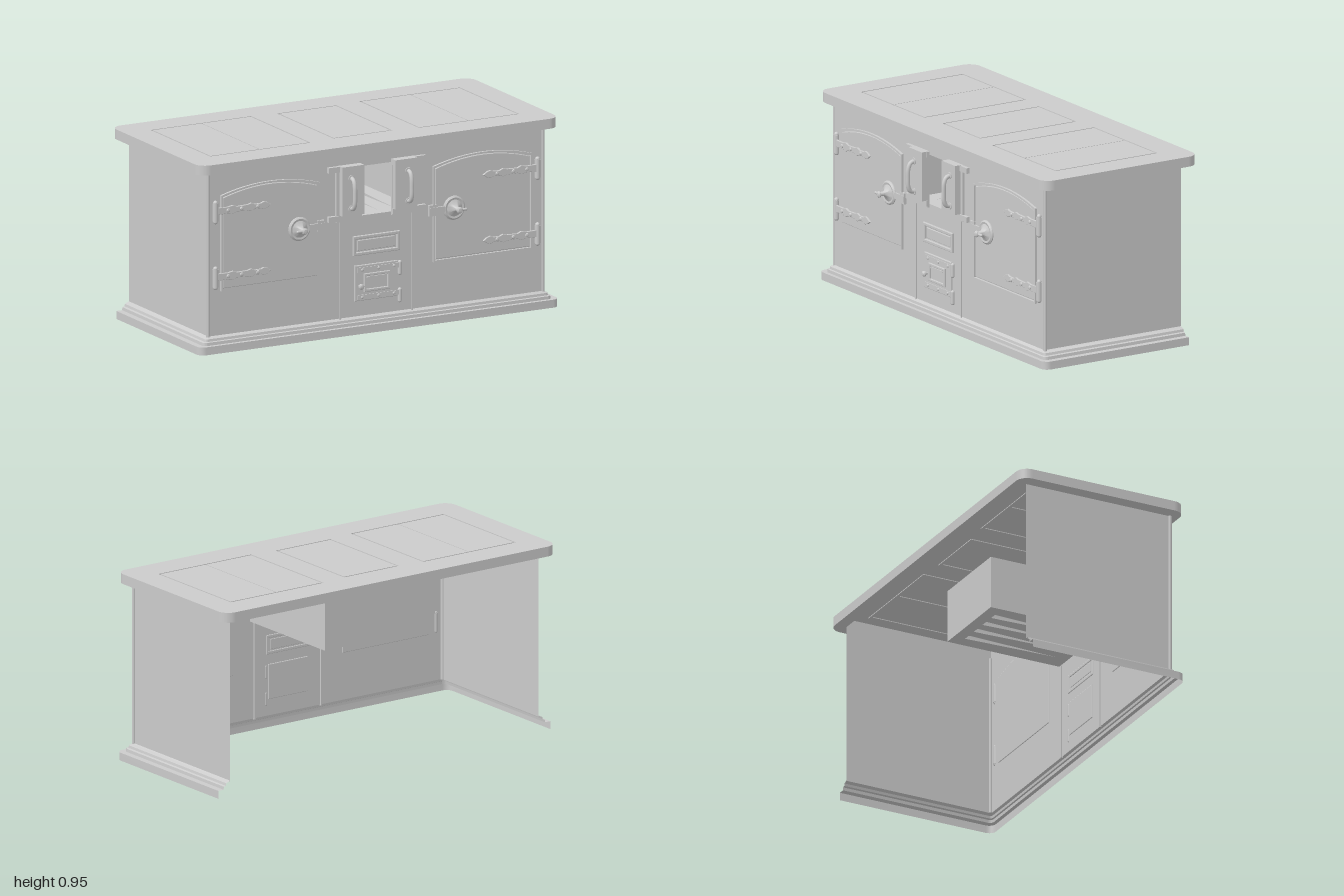
import * as THREE from 'three';
import { toCreasedNormals } from 'three/addons/utils/BufferGeometryUtils.js';

const solid = new THREE.MeshStandardMaterial({ color: 0xcccccc });
const thin = new THREE.MeshStandardMaterial({ color: 0xcccccc, side: THREE.DoubleSide });
const FRONT = 0.385, BACK = -0.41, HALF = 0.93;

function add(parent, name, geo, x = 0, y = 0, z = 0, mat = solid) {
  const m = new THREE.Mesh(geo, mat);
  m.name = name;
  m.position.set(x, y, z);
  parent.add(m);
  return m;
}
// box given by its limits
function block(parent, name, x0, x1, y0, y1, z0, z1) {
  return add(parent, name, new THREE.BoxGeometry(x1 - x0, y1 - y0, z1 - z0), (x0 + x1) / 2, (y0 + y1) / 2, (z0 + z1) / 2);
}
function rectPoints(x0, x1, y0, y1) {
  return [[x0, y0], [x1, y0], [x1, y1], [x0, y1]].map(p => new THREE.Vector2(...p));
}
const rect = (...a) => new THREE.Shape(rectPoints(...a));
function frame(x0, x1, y0, y1, w) {
  const s = rect(x0, x1, y0, y1);
  s.holes.push(new THREE.Path(rectPoints(x0 + w, x1 - w, y0 + w, y1 - w)));
  return s;
}
function extrude(shape, depth, bevel = 0) {
  return new THREE.ExtrudeGeometry(shape, {
    depth, curveSegments: 16, bevelEnabled: bevel > 0, bevelThickness: bevel, bevelSize: bevel, bevelOffset: -bevel, bevelSegments: 2
  });
}
function roundRect(x0, x1, y0, y1, r) {
  const s = new THREE.Shape();
  s.absarc(x1 - r, y1 - r, r, 0, Math.PI / 2);
  s.absarc(x0 + r, y1 - r, r, Math.PI / 2, Math.PI);
  s.absarc(x0 + r, y0 + r, r, Math.PI, Math.PI * 1.5);
  s.absarc(x1 - r, y0 + r, r, Math.PI * 1.5, Math.PI * 2);
  s.closePath();
  return s;
}
// lathe whose axis points forward; points are [radius, forward]
function turned(points, seg = 28) {
  const g = new THREE.LatheGeometry(points.map(p => new THREE.Vector2(...p)), seg);
  return toCreasedNormals(g.rotateX(Math.PI / 2), 0.6);
}
const rivet = (parent, x, y, z, r = 0.008) =>
  add(parent, 'rivet', turned([[r, 0], [r * 0.8, r * 0.5], [0, r * 0.8]], 12), x, y, z);

// Worktop: hollow slab with grooved hotplates
function worktop() {
  const g = new THREE.Group();
  g.name = 'worktop';
  // shapes lie in x and -z, extruded upwards
  const flat = (name, shape, y, h) => add(g, name, extrude(shape, h).rotateX(-Math.PI / 2), 0, y, 0);
  const plates = [[-0.86, -0.58, -0.30], [-0.165, 0.165], [0.30, 0.58, 0.86]];
  const outline = () => roundRect(-1, 1, -0.43, 0.47, 0.06);
  const top = outline(), rim = outline();
  rim.holes.push(new THREE.Path(rectPoints(-HALF, HALF, -FRONT, -BACK)));
  const gap = 0.008;
  for (const xs of plates) {
    const [y0, y1] = xs.length === 2 ? [-0.257, 0.305] : [-0.275, 0.32];
    const x0 = xs[0], x1 = xs[xs.length - 1];
    top.holes.push(new THREE.Path(rectPoints(x0, x1, y0, y1)));
    for (let i = 0; i + 1 < xs.length; i++) {
      const a = xs[i] + (i ? 0.002 : gap), b = xs[i + 1] - (i + 2 < xs.length ? 0.002 : gap);
      flat('hotplate', rect(a, b, y0 + gap, y1 - gap), 0.942, 0.008);
    }
    flat('grooveFloor', frame(x0 - 0.004, x1 + 0.004, y0 - 0.004, y1 + 0.004, gap + 0.008), 0.938, 0.004);
    if (xs.length > 2) flat('plateJoint', rect(xs[1] - 0.006, xs[1] + 0.006, y0, y1), 0.938, 0.004);
  }
  flat('topPlate', top, 0.942, 0.008);
  flat('rim', rim, 0.90, 0.042);
  return g;
}

// Plinth: moulding profile swept round the front and both sides
function plinth() {
  const profile = [[1, 0], [1, 0.04], [0.968, 0.04], [0.966, 0.055], [0.955, 0.058], [0.952, 0.07], [0.94, 0.075], [HALF, 0.08]];
  const pos = [], idx = [], n = 16;
  for (const [off, y] of profile) {
    const zf = FRONT + (off - HALF) * 0.62, r = 0.005 + (off - HALF) * 0.45;
    pos.push(-off, y, BACK);
    for (let side = 0; side < 2; side++) for (let i = 0; i < 7; i++) {
      const a = Math.PI - (side * 7 + i - side) / 12 * Math.PI;
      pos.push((side ? 1 : -1) * (off - r) + r * Math.cos(a), y, zf - r + r * Math.sin(a));
    }
    pos.push(off, y, BACK);
  }
  for (let j = 0; j + 1 < profile.length; j++) for (let i = 0; i + 1 < n; i++) {
    const a = j * n + i, b = a + n;
    idx.push(a, a + 1, b, b, a + 1, b + 1);
  }
  const geo = new THREE.BufferGeometry();
  geo.setAttribute('position', new THREE.Float32BufferAttribute(pos, 3));
  geo.setIndex(idx);
  return toCreasedNormals(geo, 0.5);
}

function doorShape(inset) {
  const x0 = 0.315 + inset, x1 = 0.865 - inset, y0 = 0.30 + inset, y1 = 0.78 - inset;
  const s = new THREE.Shape();
  s.moveTo(x0, y0);
  s.lineTo(x1, y0);
  s.lineTo(x1, y1);
  s.quadraticCurveTo((x0 + x1) / 2, y1 + 0.082, x0, y1);
  s.closePath();
  return s;
}

// Oven door on the +x side (s = 1) or mirrored (s = -1)
function ovenDoor(s) {
  const g = new THREE.Group();
  g.name = s > 0 ? 'leftOvenDoor' : 'rightOvenDoor';
  // mirror by reversing the shape's points, so faces keep their front
  const side = shape => new THREE.Shape(shape.getPoints(16).map(p => new THREE.Vector2(s * p.x, p.y)));
  const surround = side(doorShape(0));
  surround.holes.push(side(doorShape(0.009)));
  add(g, 'doorSurround', extrude(surround, 0.012), 0, 0, FRONT);
  add(g, 'doorPanel', extrude(side(doorShape(0.013)), 0.004, 0.003), 0, 0, FRONT);
  // strap hinges with a wavy outline
  const upper = [[0.89, 0.018], [0.83, 0.016], [0.80, 0.022], [0.78, 0.013], [0.72, 0.015], [0.70, 0.021],
    [0.68, 0.012], [0.645, 0.013], [0.63, 0.02], [0.61, 0.014], [0.59, 0]];
  const strap = new THREE.Shape([...upper, ...upper.slice(0, -1).reverse().map(([x, y]) => [x, -y])]
    .map(([x, y]) => new THREE.Vector2(s * x, y)));
  for (const y of [0.705, 0.375]) {
    add(g, 'hingeStrap', extrude(strap, 0.007, 0.002), 0, y, FRONT + 0.008);
    add(g, 'hingeBarrel', new THREE.CylinderGeometry(0.014, 0.014, 0.09, 16), s * 0.895, y - 0.005, FRONT + 0.008);
    for (const e of [-1, 1]) add(g, 'hingeTip', new THREE.SphereGeometry(0.012, 12, 8), s * 0.895, y - 0.005 + e * 0.047, FRONT + 0.008);
    for (const x of [0.83, 0.755, 0.665]) rivet(g, s * x, y, FRONT + 0.019, 0.01);
  }
  // latch with turning knob
  const L = Math.min(s * 0.29, s * 0.43), R = Math.max(s * 0.29, s * 0.43);
  block(g, 'latchBar', L, R, 0.545, 0.575, FRONT, FRONT + 0.016);
  block(g, 'latchKeeper', s * 0.31 - 0.02, s * 0.31 + 0.02, 0.533, 0.588, FRONT, FRONT + 0.014);
  add(g, 'latchDisc', turned([[0.06, 0], [0.06, 0.012], [0.052, 0.018], [0.042, 0.016], [0.034, 0.02], [0.02, 0.028],
    [0.012, 0.04], [0.010, 0.062], [0.016, 0.064], [0.016, 0.07], [0.010, 0.076], [0, 0.078]]), s * 0.43, 0.56, FRONT);
  const lever = add(g, 'latchLever', new THREE.CapsuleGeometry(0.007, 0.042, 4, 10), s * 0.446, 0.56, FRONT + 0.062);
  lever.rotation.z = Math.PI / 2;
  return g;
}

// Firebox: open-topped box with a slotted floor, and two sliding doors on rails
function firebox() {
  const g = new THREE.Group();
  g.name = 'firebox';
  const w = 0.225, z0 = -0.23, y0 = 0.57, y1 = 0.84;
  for (const s of [-1, 1])
    add(g, 'fireboxSide', new THREE.PlaneGeometry(FRONT - z0, y1 - y0).rotateY(s * Math.PI / 2), s * w, (y0 + y1) / 2, (FRONT + z0) / 2, thin);
  add(g, 'fireboxBack', new THREE.PlaneGeometry(2 * w, y1 - y0), 0, (y0 + y1) / 2, z0, thin);
  const floor = rect(-w, w, -FRONT, -z0);
  for (let i = 0; i < 4; i++) {
    const x = -0.135 + i * 0.09;
    floor.holes.push(new THREE.Path([[x - 0.02, 0.17], [x, -0.32], [x + 0.02, 0.17]].map(p => new THREE.Vector2(...p))));
  }
  add(g, 'grate', extrude(floor, 0.012).rotateX(-Math.PI / 2), 0, y0, 0);

  for (const y of [0.585, 0.832]) for (const s of [-1, 1]) {
    const a = s * 0.085, b = s * 0.27;
    block(g, 'rail', Math.min(a, b), Math.max(a, b), y - 0.014, y + 0.014, FRONT, FRONT + 0.018);
  }
  for (const s of [-1, 1]) {
    block(g, 'slideBacking', s * 0.155 - 0.07, s * 0.155 + 0.07, 0.565, 0.83, FRONT, FRONT + 0.012);
    block(g, 'slidingDoor', s * 0.147 - 0.06, s * 0.147 + 0.06, 0.60, 0.847, FRONT, 0.428);
    const path = new THREE.CatmullRomCurve3([[0.635, 0.425], [0.64, 0.448], [0.66, 0.46], [0.71, 0.463], [0.755, 0.46], [0.78, 0.448], [0.788, 0.425]]
      .map(([y, z]) => new THREE.Vector3(s * 0.158, y, z)));
    add(g, 'slidingDoorHandle', new THREE.TubeGeometry(path, 28, 0.011, 10));
    for (const y of [0.635, 0.788]) add(g, 'handleFoot', turned([[0.017, 0], [0.017, 0.005], [0, 0.006]], 16), s * 0.158, y, 0.427);
  }
  return g;
}

// Ash door and vent below the firebox
function centrePanel() {
  const g = new THREE.Group();
  g.name = 'centrePanel';
  add(g, 'ventFrame', extrude(frame(-0.13, 0.13, 0.385, 0.483, 0.016), 0.008, 0.003), 0, 0, FRONT);
  add(g, 'ventPlate', extrude(rect(-0.105, 0.105, 0.408, 0.46), 0.004, 0.002), 0, 0, FRONT);
  add(g, 'ashDoor', extrude(rect(-0.12, 0.118, 0.157, 0.335), 0.006, 0.003), 0, 0, FRONT);
  add(g, 'ashDoorWindow', extrude(frame(-0.072, 0.072, 0.2, 0.292, 0.014), 0.008, 0.003), 0, 0, FRONT + 0.006);
  block(g, 'ashDoorSlider', -0.055, 0.055, 0.268, 0.276, FRONT, FRONT + 0.016);
  for (const y of [0.312, 0.175]) {
    block(g, 'ashDoorStrap', -0.105, 0.13, y - 0.012, y + 0.012, FRONT, FRONT + 0.013);
    for (const x of [-0.08, 0.01, 0.095]) rivet(g, x, y, FRONT + 0.013);
  }
  for (const y of [0.297, 0.16])
    add(g, 'ashDoorHinge', new THREE.CapsuleGeometry(0.01, 0.055, 4, 12), 0.13, y, FRONT + 0.007);
  add(g, 'ashDoorKnob', turned([[0.007, 0], [0.007, 0.012], [0.014, 0.018], [0.014, 0.026], [0.008, 0.032], [0, 0.034]], 18), -0.094, 0.232, FRONT + 0.004);
  for (const s of [-1, 1]) block(g, 'seamStrip', s * 0.2 - 0.004, s * 0.2 + 0.004, 0.07, 0.565, FRONT - 0.006, FRONT + 0.006);
  return g;
}

export function createModel() {
  const model = new THREE.Group();
  model.name = 'rangeCooker';
  model.add(worktop(), firebox(), centrePanel(), ovenDoor(1), ovenDoor(-1));
  add(model, 'plinth', plinth(), 0, 0, 0, thin);

  // casing: front wall with the fire opening, side walls, open back and underside
  const wall = rect(-HALF, HALF, 0.075, 0.902);
  wall.holes.push(new THREE.Path(rectPoints(-0.09, 0.09, 0.58, 0.83)));
  add(model, 'frontWall', new THREE.ShapeGeometry(wall), 0, 0, FRONT, thin);
  for (const s of [-1, 1]) {
    add(model, 'sideWall', new THREE.PlaneGeometry(FRONT - BACK, 0.827).rotateY(s * Math.PI / 2), s * HALF, 0.4885, (FRONT + BACK) / 2, thin);
    add(model, 'cornerBead', new THREE.CylinderGeometry(0.009, 0.009, 0.827, 12), s * HALF, 0.4885, FRONT - 0.004);
  }
  return model;
}
